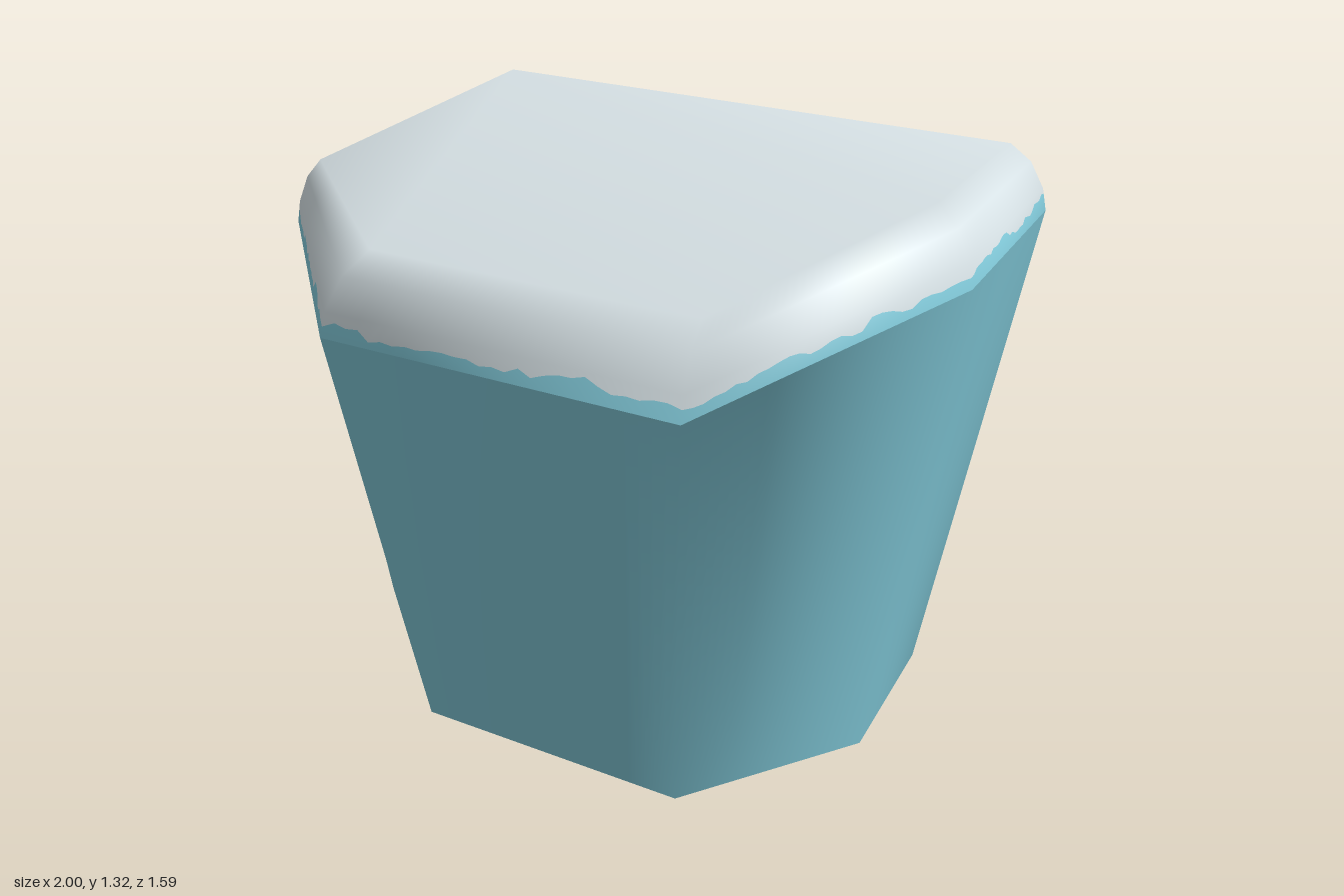
import * as THREE from 'three';

// Heptagonal boulder outline, counter-clockwise from above.
// Each corner: outer rim [x, y, z], then inner cap corner [x, y, z]
const CORNERS = [
  [[-0.85, 1.15, -0.62], [-0.77, 1.315, -0.54]],
  [[-1.0, 0.98, 0.07], [-0.93, 1.15, 0.05]],
  [[-0.22, 0.98, 0.795], [-0.18, 1.16, 0.67]],
  [[0.75, 0.98, 0.795], [0.71, 1.16, 0.67]],
  [[1.0, 1.14, 0.1], [0.9, 1.31, 0.08]],
  [[0.8, 1.14, -0.62], [0.74, 1.308, -0.54]],
  [[0.14, 0.98, -0.795], [0.13, 1.15, -0.69]],
];
const N = CORNERS.length;
const STEPS = 28; // columns per side
const TOP = [[0, 2, 4], [0, 1, 2], [2, 3, 4], [0, 4, 5], [0, 5, 6]];
// Rounded shoulder between rim and cap: fraction inward, fraction upward
const SHOULDER = [[0, 0], [0.1, 0.32], [0.45, 0.72], [1, 1]];

// Repeatable value between 0 and 1
const noise = (i) => {
  const s = Math.sin(i * 12.9898 + 4.1) * 43758.5453;
  return s - Math.floor(s);
};

// Vertices as { p: position, n: normal }
function makeGeometry(vertices, index) {
  const geometry = new THREE.BufferGeometry();
  geometry.setAttribute('position', new THREE.Float32BufferAttribute(vertices.flatMap((v) => v.p.toArray()), 3));
  geometry.setAttribute('normal', new THREE.Float32BufferAttribute(vertices.flatMap((v) => v.n.toArray()), 3));
  geometry.setIndex(index);
  return geometry;
}

// Faces between successive closed rings of equal length
function ringFaces(rings, count) {
  const index = [];
  for (let r = 0; r < rings - 1; r++) {
    for (let i = 0; i < count; i++) {
      const a = r * count + i, b = r * count + (i + 1) % count;
      index.push(a, b, b + count, a, b + count, a + count);
    }
  }
  return index;
}

// Turn corner rings into vertices with smooth shared normals
function smoothRings(rings, extraFaces) {
  const geometry = new THREE.BufferGeometry();
  geometry.setAttribute('position', new THREE.Float32BufferAttribute(rings.flat(2), 3));
  geometry.setIndex([...ringFaces(rings.length, N), ...extraFaces]);
  geometry.computeVertexNormals();
  return rings.map((ring, r) => ring.map((p, i) => ({
    p: new THREE.Vector3(...p),
    n: new THREE.Vector3().fromBufferAttribute(geometry.attributes.normal, r * N + i),
  })));
}

const mix = (a, b, t) => ({
  p: a.p.clone().lerp(b.p, t),
  n: a.n.clone().lerp(b.n, t).normalize(),
});

// Subdivide a ring along its straight sides
function subdivide(ring) {
  return ring.flatMap((v, i) =>
    Array.from({ length: STEPS }, (_, k) => mix(v, ring[(i + 1) % N], k / STEPS)));
}

const band = (...loops) => makeGeometry(loops.flat(), ringFaces(loops.length, loops[0].length));

export function createModel() {
  const group = new THREE.Group();
  const makeMaterial = (name, color) => {
    const material = new THREE.MeshStandardMaterial({ color, side: THREE.DoubleSide });
    material.name = name;
    return material;
  };
  const stone = makeMaterial('blueStone', 0x84cddd);
  const snow = makeMaterial('snow', 0xdde8ec);
  const add = (name, geometry, material) => {
    const mesh = new THREE.Mesh(geometry, material);
    mesh.name = name;
    group.add(mesh);
  };

  // Flaring stone wall, open underneath
  const foot = CORNERS.map(([[x, , z]]) => [x * 0.7375 + 0.0125, 0, z * 0.686]);
  const wall = smoothRings([foot, CORNERS.map((c) => c[0])], []);
  add('stoneWall', band(...wall.map(subdivide)), stone);

  // Shoulder rings and sloping top share their normals
  const shoulderRings = SHOULDER.map(([h, v]) => CORNERS.map(([a, b]) =>
    [a[0] + (b[0] - a[0]) * h, a[1] + (b[1] - a[1]) * v, a[2] + (b[2] - a[2]) * h]));
  const topFaces = TOP.flat().map((i) => i + (SHOULDER.length - 1) * N);
  const cap = smoothRings(shoulderRings, topFaces);
  const [rimLoop, ...capLoops] = cap.map(subdivide);

  // Ragged edge where the snow ends, just above the rim
  const snowLine = rimLoop.map((v, i) =>
    mix(v, capLoops[0][i], 0.22 + 0.4 * noise(Math.floor(i / 3)) + 0.25 * noise(i + 500)));

  add('stoneRim', band(rimLoop, snowLine), stone);
  add('snowShoulder', band(snowLine, ...capLoops), snow);
  add('snowTop', makeGeometry(cap[cap.length - 1], TOP.flat()), snow);

  return group;
}
